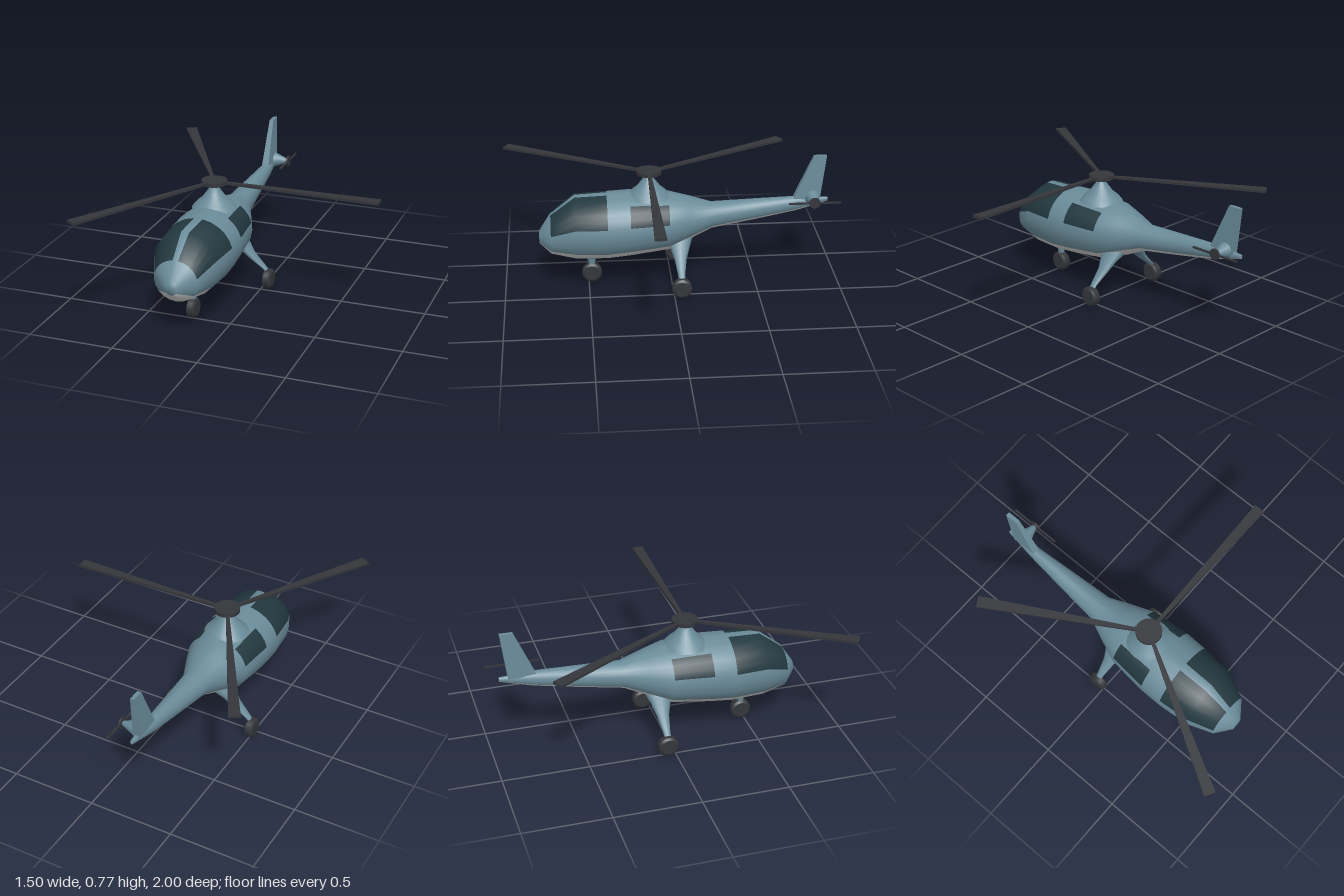
import * as THREE from 'three';
import { toCreasedNormals } from 'three/addons/utils/BufferGeometryUtils.js';

const X0 = -0.233; // centre line of the fuselage
const paint = (color) => new THREE.MeshStandardMaterial({ color });
const BLUE = paint(0x6a8b99), GLASS = paint(0x22383f), GREY = paint(0xcccccc), DARK = paint(0x34363a);

function add(parent, name, geometry, material, x = 0, y = 0, z = 0) {
  const mesh = new THREE.Mesh(geometry, material);
  mesh.name = name;
  mesh.position.set(x, y, z);
  parent.add(mesh);
  return mesh;
}

// Joins closed rings of points; kind(row, column) sorts the quads into geometries
// that share positions and normals, so the seams between colours stay smooth.
function skin(rings, kind = () => 'all') {
  const n = rings[0].length, all = [], sets = {};
  for (let i = 0; i < rings.length - 1; i++) {
    for (let j = 0; j < n; j++) {
      const a = i * n + j, b = i * n + (j + 1) % n;
      const quad = [a, b, a + n, b, b + n, a + n];
      all.push(...quad);
      (sets[kind(i, j)] ??= []).push(...quad);
    }
  }
  const base = new THREE.BufferGeometry();
  base.setAttribute('position', new THREE.Float32BufferAttribute(rings.flat(2), 3));
  base.setIndex(all);
  base.computeVertexNormals();
  for (const key in sets) {
    const index = sets[key];
    sets[key] = base.clone();
    sets[key].setIndex(index);
  }
  return sets;
}

const lathe = (points, segments = 24) => toCreasedNormals(
  new THREE.LatheGeometry(points.map(([r, y]) => new THREE.Vector2(r, y)), segments), 0.6);

function fuselage(parent) {
  // z, bottom, top, half width
  const stations = [
    [0.79, 0.305, 0.305, 0], [0.79, 0.265, 0.34, 0.035], [0.72, 0.2, 0.445, 0.13],
    [0.575, 0.168, 0.558, 0.193], [0.385, 0.165, 0.566, 0.21], [0.25, 0.18, 0.573, 0.212],
    [0.02, 0.21, 0.56, 0.19], [-0.1, 0.265, 0.53, 0.142], [-0.24, 0.33, 0.49, 0.082],
    [-0.5, 0.375, 0.502, 0.058], [-0.75, 0.422, 0.512, 0.035], [-0.94, 0.475, 0.502, 0.01],
    [-0.94, 0.488, 0.488, 0]];
  // angles from the top down one side, then mirrored
  const half = [0, 7, 22, 37, 50, 63, 76, 92, 109, 127, 145, 162, 180];
  const angles = [...half, ...half.slice(1, -1).reverse().map((a) => 360 - a)];
  const rings = stations.map(([z, low, high, w]) => angles.map((deg) => {
    const a = THREE.MathUtils.degToRad(deg);
    return [X0 + w * Math.sin(a), (low + high) / 2 + (high - low) / 2 * Math.cos(a), z];
  }));
  const parts = skin(rings, (i, j) => {
    const next = j + 1 < angles.length ? angles[j + 1] : 360;
    const mid = (angles[j] + next) / 2, a = Math.min(mid, 360 - mid);
    if (i > 0 && a > 127) return 'belly';
    if ((i === 2 || i === 3) && a > 7 && a < 76) return 'windshield';
    if (i === 5 && a > 37 && a < 76) return 'sideWindows';
    return 'hull';
  });
  const materials = { hull: BLUE, belly: GREY, windshield: GLASS, sideWindows: GLASS };
  for (const name in parts) add(parent, name, parts[name], materials[name]);
}

// A tapering rotor blade reaching out along +x
function blade(length, thickness, root, tip) {
  const g = new THREE.BoxGeometry(length, thickness, 2).translate(length / 2, 0, 0);
  const p = g.attributes.position;
  for (let i = 0; i < p.count; i++) p.setZ(i, p.getZ(i) * (p.getX(i) > 0.01 ? tip : root));
  g.computeVertexNormals();
  return g;
}

function mainRotor(parent) {
  const rotor = new THREE.Group();
  rotor.name = 'mainRotor';
  rotor.position.set(X0, 0.698, 0.132);
  parent.add(rotor);
  add(rotor, 'hub', new THREE.CylinderGeometry(0.075, 0.075, 0.022, 24), DARK);
  for (let k = 0; k < 3; k++) {
    add(rotor, 'blade', blade(0.98, 0.015, 0.008, 0.033), DARK).rotation.y = k * Math.PI * 2 / 3;
  }
}

function tail(parent) {
  // Fin: a box whose corners follow a swept outline
  const fin = new THREE.BoxGeometry(2, 2, 2), p = fin.attributes.position;
  for (let i = 0; i < p.count; i++) {
    const top = p.getY(i) > 0, front = p.getZ(i) > 0;
    p.setXYZ(i, p.getX(i) * (top ? 0.012 : 0.022), top ? 0.768 : 0.49,
      top ? (front ? -0.85 : -0.926) : (front ? -0.728 : -0.89));
  }
  fin.computeVertexNormals();
  add(parent, 'tailFin', fin, BLUE, X0);

  // Side-mounted tail rotor on a conical support
  const rotor = new THREE.Group();
  rotor.name = 'tailRotor';
  rotor.position.set(-0.118, 0.51, -0.845);
  parent.add(rotor);
  add(rotor, 'support', new THREE.CylinderGeometry(0.012, 0.045, 0.085, 16), BLUE, -0.045).rotation.z = -Math.PI / 2;
  add(rotor, 'hub', new THREE.CylinderGeometry(0.033, 0.033, 0.012, 16), DARK).rotation.z = Math.PI / 2;
  add(rotor, 'blades', new THREE.BoxGeometry(0.01, 0.01, 0.31), DARK);
}

function landingGear(parent) {
  const tyre = lathe([[0, -0.026], [0.046, -0.026], [0.059, -0.016], [0.059, 0.016], [0.046, 0.026], [0, 0.026]]);
  const wheel = (name, x, z) => { add(parent, name, tyre, DARK, x, 0.059, z).rotation.z = Math.PI / 2; };

  wheel('noseWheel', X0, 0.48);
  add(parent, 'noseLeg', lathe([[0.018, 0.06], [0.019, 0.12], [0.025, 0.155], [0.045, 0.172], [0.06, 0.19]]),
    BLUE, X0, 0, 0.48);

  // Main legs: offset, y, half length along z, half thickness
  const sections = [[0.06, 0.31, 0.085, 0.05], [0.115, 0.26, 0.06, 0.034], [0.165, 0.195, 0.036, 0.021],
    [0.24, 0.128, 0.021, 0.012], [0.265, 0.1, 0.02, 0.01]];
  for (const side of [1, -1]) {
    const rings = sections.map(([x, y, hz, t]) => Array.from({ length: 12 }, (_, k) => {
      const a = -side * k * Math.PI / 6, up = Math.sin(a) * t;
      return [X0 + side * (x + 0.6 * up), y + 0.8 * up, -0.043 + Math.cos(a) * hz];
    }));
    const word = side > 0 ? 'left' : 'right';
    add(parent, word + 'Leg', skin(rings).all, BLUE);
    wheel(word + 'Wheel', X0 + side * 0.268, -0.043);
  }
}

export function createModel() {
  const model = new THREE.Group();
  model.name = 'helicopter';
  fuselage(model);
  // Rotor mast fairing flaring into the roof
  add(model, 'mastFairing',
    lathe([[0.13, 0.545], [0.105, 0.575], [0.07, 0.605], [0.045, 0.64], [0.022, 0.67], [0.015, 0.69]]),
    BLUE, X0, 0, 0.135);
  mainRotor(model);
  tail(model);
  landingGear(model);
  return model;
}
